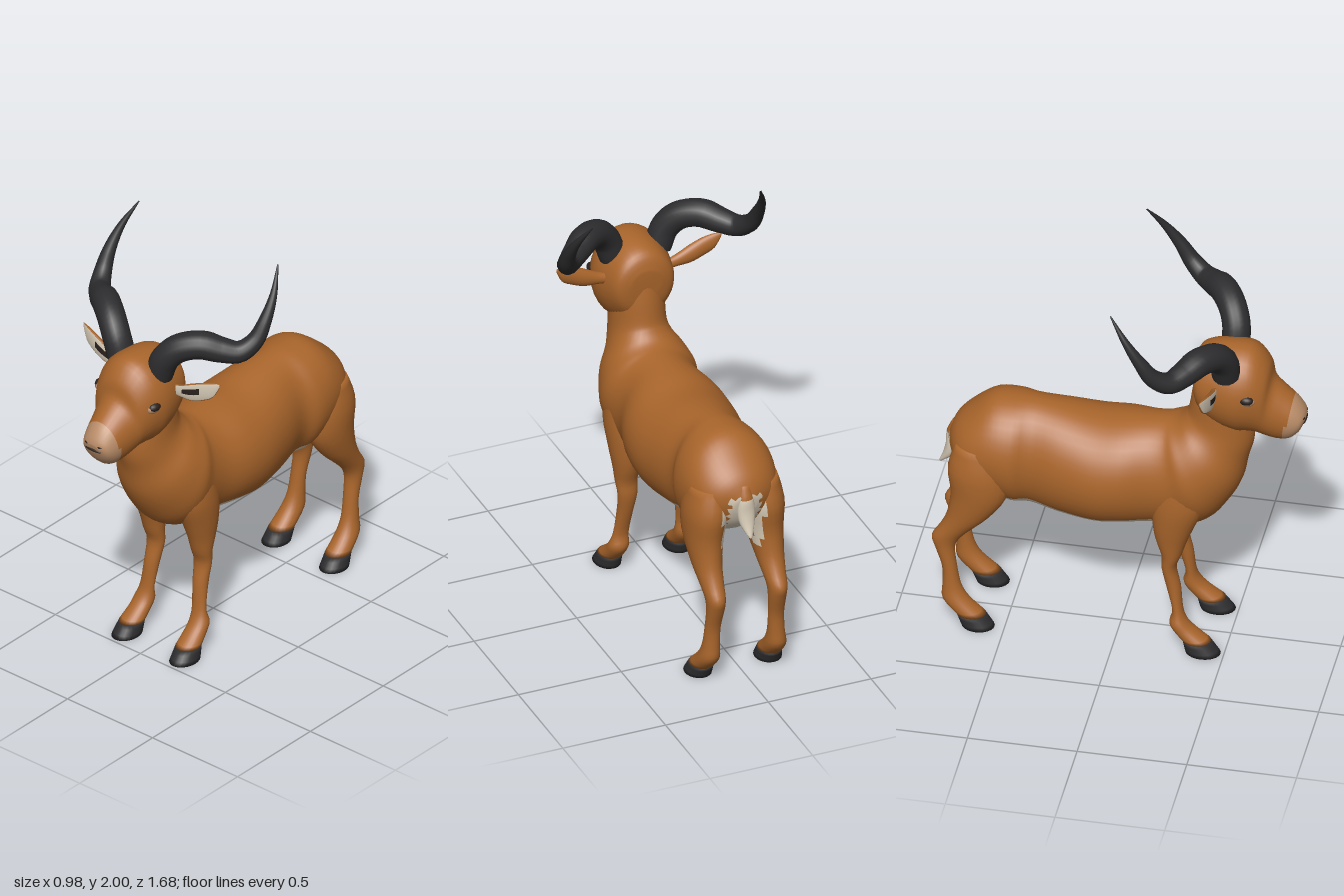
import * as THREE from 'three';

const mat = (name, color, side = THREE.FrontSide) => {
  const m = new THREE.MeshStandardMaterial({ color, side });
  m.name = name;
  return m;
};

const CX = 0.01; // centre line of the body

// Smooth interpolation of one number between sections
const spline = (a, b, c, d, t) =>
  b + 0.5 * t * (c - a + t * (2 * a - 5 * b + 4 * c - d + t * (3 * (b - c) + d - a)));

function refine(sections, steps) {
  const out = [];
  const last = sections.length - 1;
  const at = (i) => sections[Math.min(Math.max(i, 0), last)];
  for (let i = 0; i < last; i++)
    for (let k = 0; k < steps; k++)
      out.push(at(i).map((_, j) => spline(at(i - 1)[j], at(i)[j], at(i + 1)[j], at(i + 2)[j], k / steps)));
  out.push(sections[last]);
  return out;
}

// Skin over sections; ring(section, cos, sin) gives a point, paint(centre, angle) a material index
function loft(name, sections, ring, materials, { paint = () => 0, n = 28, steps = 3 } = {}) {
  const rows = refine(sections, steps);
  const pts = [];
  for (const s of rows)
    for (let i = 0; i < n; i++) {
      const t = (i / n) * Math.PI * 2;
      pts.push(new THREE.Vector3(...ring(s, Math.cos(t), Math.sin(t))));
    }
  const ends = [0, rows.length - 1].map((r) => {
    const c = new THREE.Vector3();
    for (let i = 0; i < n; i++) c.addScaledVector(pts[r * n + i], 1 / n);
    return pts.push(c) - 1;
  });
  const tris = materials.map(() => []);
  let volume = 0;
  const add = (a, b, c, m) => {
    tris[m].push([a, b, c]);
    volume += pts[a].dot(pts[b].clone().cross(pts[c]));
  };
  const L = (rows.length - 1) * n;
  for (let i = 0; i < n; i++) {
    const j = (i + 1) % n;
    const angle = ((i + 0.5) / n) * 360;
    for (let r = 0; r < L; r += n) {
      const [a, b, c, d] = [r + i, r + j, r + n + j, r + n + i];
      const mid = pts[a].clone().add(pts[b]).add(pts[c]).add(pts[d]).multiplyScalar(0.25);
      const m = paint(mid, angle);
      add(a, b, c, m);
      add(a, c, d, m);
    }
    add(ends[0], j, i, paint(pts[ends[0]], angle));
    add(ends[1], L + i, L + j, paint(pts[ends[1]], angle));
  }
  const geo = new THREE.BufferGeometry().setFromPoints(pts);
  const index = [];
  tris.forEach((list, m) => {
    geo.addGroup(index.length, list.length * 3, m);
    for (const [a, b, c] of list) index.push(...(volume < 0 ? [a, c, b] : [a, b, c]));
  });
  geo.setIndex(index);
  geo.computeVertexNormals();
  const mesh = new THREE.Mesh(geo, materials);
  mesh.name = name;
  return mesh;
}

// Section [topZ, topY, bottomZ, bottomY, halfWidth]
const trunkRing = ([zt, yt, zb, yb, w], c, s) =>
  [CX + w * c, (yt + yb) / 2 + (s * (yt - yb)) / 2, (zt + zb) / 2 + (s * (zt - zb)) / 2];
// Section [y, frontZ, backZ, centreX, halfWidth]
const legRing = (side) => ([y, zf, zb, x, w], c, s) =>
  [CX + side * (x + w * c), y, (zf + zb) / 2 + (s * (zf - zb)) / 2];

export function createModel() {
  const coat = mat('brown coat', 0xa9652b);
  const cream = mat('cream fur', 0xd6cab6);
  const muzzle = mat('tan muzzle', 0xb98c68);
  const horn = mat('black horn', 0x2d2d2f);
  const dark = mat('dark eye', 0x2b211d);
  const model = new THREE.Group();
  model.name = 'antelope';

  // Body and neck, with pale belly and rump patch
  model.add(loft('body', [
    [-0.785, 0.95, -0.765, 0.86, 0.05], [-0.75, 1.03, -0.735, 0.8, 0.13],
    [-0.68, 1.1, -0.68, 0.74, 0.19], [-0.58, 1.17, -0.58, 0.68, 0.22],
    [-0.47, 1.18, -0.48, 0.635, 0.225], [-0.38, 1.175, -0.4, 0.63, 0.195],
    [-0.25, 1.16, -0.27, 0.605, 0.225], [-0.1, 1.14, -0.1, 0.59, 0.255],
    [0.03, 1.148, 0.03, 0.6, 0.25], [0.14, 1.155, 0.17, 0.61, 0.215],
    [0.2, 1.16, 0.3, 0.61, 0.215], [0.23, 1.165, 0.42, 0.67, 0.23],
    [0.255, 1.175, 0.5, 0.77, 0.215], [0.275, 1.19, 0.555, 0.88, 0.19],
    [0.295, 1.215, 0.58, 1.0, 0.15], [0.31, 1.25, 0.605, 1.1, 0.13],
    [0.325, 1.35, 0.6, 1.2, 0.125], [0.345, 1.45, 0.58, 1.3, 0.12],
  ], trunkRing, [coat, cream], {
    n: 40, steps: 4,
    paint: (p, a) =>
      (p.z > -0.5 && p.z < 0.18 && a > 225 && a < 315) ||
      (p.z < -0.66 && Math.abs(p.x - CX) < 0.075 && p.y < 0.95) ? 1 : 0,
  }));

  // Head with pale muzzle
  model.add(loft('head', [
    [0.335, 1.5, 0.34, 1.38, 0.07], [0.36, 1.57, 0.36, 1.28, 0.135],
    [0.42, 1.605, 0.44, 1.2, 0.165], [0.52, 1.618, 0.53, 1.17, 0.182],
    [0.61, 1.605, 0.58, 1.17, 0.17], [0.675, 1.53, 0.62, 1.165, 0.145],
    [0.695, 1.45, 0.66, 1.15, 0.122], [0.745, 1.4, 0.71, 1.135, 0.105],
    [0.8, 1.35, 0.765, 1.14, 0.09], [0.835, 1.3, 0.81, 1.18, 0.068],
    [0.845, 1.27, 0.835, 1.23, 0.03],
  ], trunkRing, [coat, muzzle], {
    n: 32, steps: 4, paint: (p) => (p.z > 0.745 + (p.y - 1.18) * 0.26 ? 1 : 0),
  }));

  const blob = (name, m, pos, scale) => {
    const b = new THREE.Mesh(new THREE.SphereGeometry(1, 16, 10), m);
    b.name = name;
    b.position.set(...pos);
    b.scale.set(...scale);
    model.add(b);
  };
  blob('mouth', dark, [CX, 1.243, 0.835], [0.045, 0.008, 0.01]);

  // Tail
  model.add(loft('tail', [
    [1.0, -0.73, -0.77, 0, 0.025], [0.94, -0.74, -0.797, 0, 0.035],
    [0.88, -0.745, -0.8, 0, 0.042], [0.82, -0.755, -0.812, 0, 0.035],
    [0.765, -0.815, -0.832, 0, 0.008],
  ], legRing(1), [coat, cream], { n: 16, paint: (p) => (p.y < 0.93 ? 1 : 0) }));

  const frontLeg = [
    [0.95, 0.4, 0.2, 0.13, 0.08], [0.8, 0.41, 0.17, 0.14, 0.085],
    [0.67, 0.36, 0.17, 0.14, 0.075], [0.58, 0.325, 0.185, 0.14, 0.062],
    [0.5, 0.3, 0.21, 0.14, 0.052], [0.43, 0.277, 0.21, 0.138, 0.046],
    [0.33, 0.298, 0.232, 0.142, 0.038], [0.21, 0.31, 0.262, 0.152, 0.037],
    [0.15, 0.335, 0.25, 0.16, 0.048], [0.11, 0.375, 0.265, 0.162, 0.05],
    [0.06, 0.44, 0.31, 0.166, 0.055], [0, 0.485, 0.325, 0.17, 0.062],
  ];
  const hindLeg = [
    [0.97, -0.52, -0.73, 0.12, 0.085], [0.85, -0.48, -0.765, 0.135, 0.1],
    [0.72, -0.49, -0.75, 0.145, 0.088], [0.6, -0.57, -0.765, 0.15, 0.068],
    [0.52, -0.65, -0.8, 0.15, 0.054], [0.46, -0.705, -0.835, 0.15, 0.045],
    [0.4, -0.73, -0.82, 0.15, 0.041], [0.3, -0.72, -0.787, 0.154, 0.037],
    [0.2, -0.7, -0.785, 0.158, 0.04], [0.13, -0.66, -0.783, 0.162, 0.05],
    [0.06, -0.585, -0.72, 0.166, 0.055], [0, -0.545, -0.695, 0.17, 0.062],
  ];

  for (const s of [1, -1]) {
    const tag = s > 0 ? 'left' : 'right';

    // Legs and hooves
    for (const [name, sections] of [['FrontLeg', frontLeg], ['HindLeg', hindLeg]]) {
      model.add(loft(tag + name, sections.slice(0, -1), legRing(s), [coat, cream], {
        n: 24,
        paint: (p) => (p.z < -0.68 && s * (p.x - CX) < 0.1 && p.y > 0.62 && p.y < 0.92 ? 1 : 0),
      }));
      model.add(loft(tag + name + 'Hoof', sections.slice(-2), legRing(s), [horn], { n: 24 }));
    }

    // Horn: spiralling tube that tapers towards the tip
    const path = new THREE.CatmullRomCurve3([
      [0.11, 1.53, 0.5], [0.145, 1.62, 0.495], [0.2, 1.68, 0.465], [0.28, 1.703, 0.41],
      [0.35, 1.68, 0.355], [0.41, 1.667, 0.3], [0.447, 1.71, 0.235],
      [0.458, 1.79, 0.18], [0.448, 1.89, 0.11], [0.408, 2.0, 0.032],
    ].map(([x, y, z]) => new THREE.Vector3(s * x, y, z)));
    const rows = 48, sides = 16;
    const tube = new THREE.TubeGeometry(path, rows, 1, sides);
    const pos = tube.attributes.position, v = new THREE.Vector3();
    for (let i = 0; i < pos.count; i++) {
      const u = Math.floor(i / (sides + 1)) / rows;
      const c = path.getPointAt(u);
      const r = 0.065 * (1 - 0.96 * Math.max(0, (u - 0.35) / 0.65));
      v.fromBufferAttribute(pos, i).sub(c).multiplyScalar(r).add(c);
      pos.setXYZ(i, v.x, v.y, v.z);
    }
    const hornMesh = new THREE.Mesh(tube, horn);
    hornMesh.name = tag + 'Horn';
    model.add(hornMesh);

    // Ear, section [x, y, z, halfHeight, depth]: pale in front with a dark streak
    model.add(loft(tag + 'Ear', [
      [0.13, 1.44, 0.455, 0.025, 0.02], [0.19, 1.452, 0.46, 0.03, 0.025],
      [0.26, 1.472, 0.46, 0.045, 0.03], [0.32, 1.497, 0.455, 0.046, 0.026],
      [0.37, 1.52, 0.445, 0.037, 0.018], [0.4, 1.55, 0.435, 0.008, 0.005],
    ], ([x, y, z, h, d], c, sn) => [CX + s * x, y + h * c, z + d * sn * (sn > 0 ? 0.35 : 1)],
    [coat, cream, dark], {
      n: 28, steps: 4,
      paint: (p, a) => {
        if (a < 28 || a > 152) return 0;
        return a > 70 && a < 98 && Math.abs(p.x - CX) > 0.2 && Math.abs(p.x - CX) < 0.31 ? 2 : 1;
      },
    }));

    // Eye and nostril
    blob(tag + 'EyeRim', muzzle, [CX + s * 0.153, 1.413, 0.595], [0.022, 0.027, 0.042]);
    blob(tag + 'Eye', dark, [CX + s * 0.157, 1.42, 0.598], [0.024, 0.022, 0.034]);
    blob(tag + 'Nostril', dark, [CX + s * 0.035, 1.268, 0.832], [0.014, 0.007, 0.01]);
  }
  return model;
}
